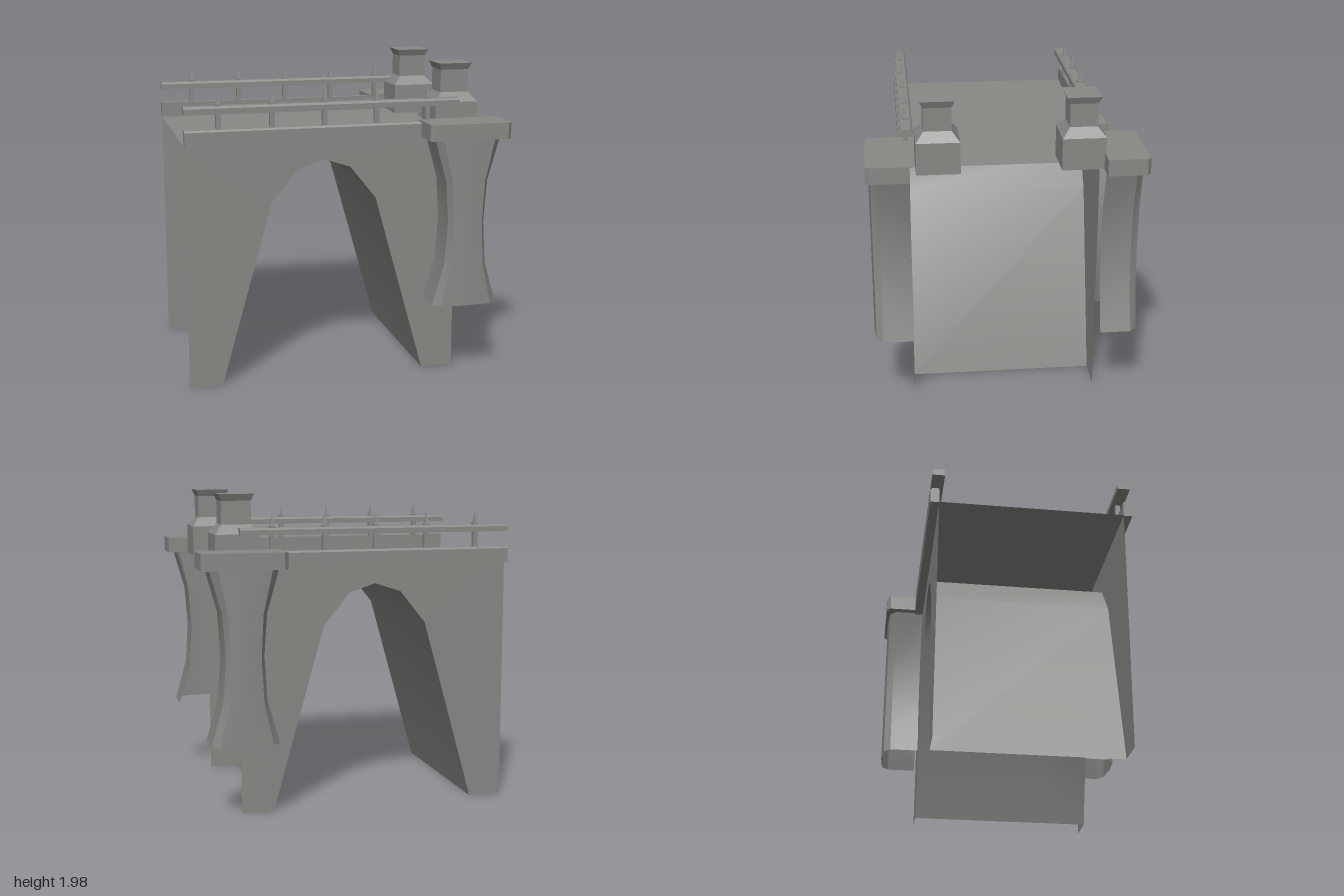
import * as THREE from 'three';
import { toCreasedNormals } from 'three/addons/utils/BufferGeometryUtils.js';

const stone = new THREE.MeshStandardMaterial({ color: 0x888885, side: THREE.DoubleSide });
stone.name = 'grey stone';

const X0 = -1, X1 = 0.73, WALL_Z = 0.577, DECK_Y = 1.54;
const ARCH = [[-0.79, 0], [-0.465, 1.16], [-0.3, 1.365], [-0.133, 1.42], [0.035, 1.365], [0.2, 1.16], [0.525, 0]];

function add(parent, name, geometry, x = 0, y = 0, z = 0) {
  const mesh = new THREE.Mesh(geometry, stone);
  mesh.name = name;
  mesh.position.set(x, y, z);
  parent.add(mesh);
  return mesh;
}

const shapeOf = (pts) => new THREE.Shape(pts.map(([a, b]) => new THREE.Vector2(a, b)));

// Skin between cross-sections that all have the same number of points
function loft(rows, crease, flip = false) {
  const n = rows[0].length, index = [];
  for (let r = 0; r < rows.length - 1; r++) {
    for (let i = 0; i < n - 1; i++) {
      const a = r * n + i, b = a + 1, c = a + n, d = c + 1;
      if (flip) index.push(a, c, b, b, c, d);
      else index.push(a, b, c, b, d, c);
    }
  }
  const g = new THREE.BufferGeometry();
  g.setAttribute('position', new THREE.Float32BufferAttribute(rows.flat(2), 3));
  g.setIndex(index);
  return toCreasedNormals(g, crease);
}

// Profile of [z, y] points extruded along the bridge
function beam(profile, s) {
  const g = new THREE.ExtrudeGeometry(shapeOf(profile.map(([z, y]) => [-s * z, y])), { depth: X1 - X0, bevelEnabled: false });
  return g.rotateY(Math.PI / 2).translate(X0, 0, 0);
}

// Waisted half tower, open at the back and below
function pierGeometry(s) {
  const levels = [[0.483, 0.21], [0.75, 0.135], [1.02, 0.117], [1.28, 0.135], [1.545, 0.21]];
  const rows = levels.map(([y, w]) => {
    const c = w * 0.78;
    return [[-w, WALL_Z], [-w, 0.765], [-c, 0.808], [0, 0.82], [c, 0.808], [w, 0.765], [w, WALL_Z]]
      .map(([x, z]) => [0.735 + x, y, s * z]);
  });
  return loft(rows, 0.5, s < 0);
}

// Cap slab with clipped outer corners
function capGeometry(s) {
  const pts = [[0.477, WALL_Z], [0.477, 0.81], [0.503, 0.835], [0.974, 0.835], [1, 0.81], [1, WALL_Z]];
  const g = new THREE.ExtrudeGeometry(shapeOf(pts.map(([x, z]) => [x, -s * z])), { depth: 0.102, bevelEnabled: false });
  return g.rotateX(-Math.PI / 2).translate(0, 1.545, 0);
}

// Stepped square pedestal with a flared top
function pedestalGeometry() {
  const levels = [[0, 0.138, 0.131], [0.195, 0.138, 0.131], [0.253, 0.091, 0.083],
    [0.395, 0.091, 0.083], [0.437, 0.109, 0.103], [0.437, 0, 0]];
  const corners = [[-1, 1], [1, 1], [1, -1], [-1, -1], [-1, 1]];
  return loft(levels.map(([y, w, d]) => corners.map(([a, b]) => [a * w, y, b * d])), 0.1);
}

function side(s) {
  const g = new THREE.Group();
  g.name = s > 0 ? 'frontSide' : 'backSide';

  // Wall with the arch cut out
  const wall = new THREE.ShapeGeometry(shapeOf([[X0, 0], ...ARCH, [X1, 0], [X1, DECK_Y], [X0, DECK_Y]]));
  if (s < 0) wall.scale(-1, 1, 1).rotateY(Math.PI);
  add(g, 'wall', wall, 0, 0, s * WALL_Z);

  // Curb and handrail
  add(g, 'curb', beam([[WALL_Z, 1.537], [0.632, 1.537], [0.632, 1.626], [0.622, 1.637], [WALL_Z, 1.637]], s));
  add(g, 'handrail', beam([[0.546, 1.734], [0.624, 1.734], [0.624, 1.766], [0.612, 1.778], [0.558, 1.778], [0.546, 1.766]], s));

  // Railing posts with spikes
  for (let i = 0; i < 5; i++) {
    const x = -0.79 + i * 0.329;
    add(g, 'railPost', new THREE.BoxGeometry(0.03, 0.1, 0.03), x, 1.685, s * 0.588);
    const spike = new THREE.ConeGeometry(0.02, 0.092, 4).rotateY(Math.PI / 4).toNonIndexed();
    spike.computeVertexNormals();
    add(g, 'spike', spike, x, 1.822, s * 0.588);
    add(g, 'spikeBase', new THREE.BoxGeometry(0.036, 0.012, 0.036), x, 1.782, s * 0.588);
  }

  add(g, 'pier', pierGeometry(s));
  add(g, 'pierCap', capGeometry(s));
  add(g, 'pedestal', pedestalGeometry(), 0.737, 1.545, s > 0 ? 0.407 : -0.455);
  return g;
}

export function createModel() {
  const model = new THREE.Group();
  model.name = 'bridgeSection';

  // Road deck
  const deck = new THREE.PlaneGeometry(X1 - X0, WALL_Z * 2).rotateX(-Math.PI / 2);
  add(model, 'deck', deck, (X0 + X1) / 2, DECK_Y, 0);

  // Underside of the arch
  const rows = [WALL_Z, -WALL_Z].map((z) => ARCH.map(([x, y]) => [x, y, z]));
  add(model, 'archUnderside', loft(rows, 0.8, true));

  model.add(side(1), side(-1));
  return model;
}
